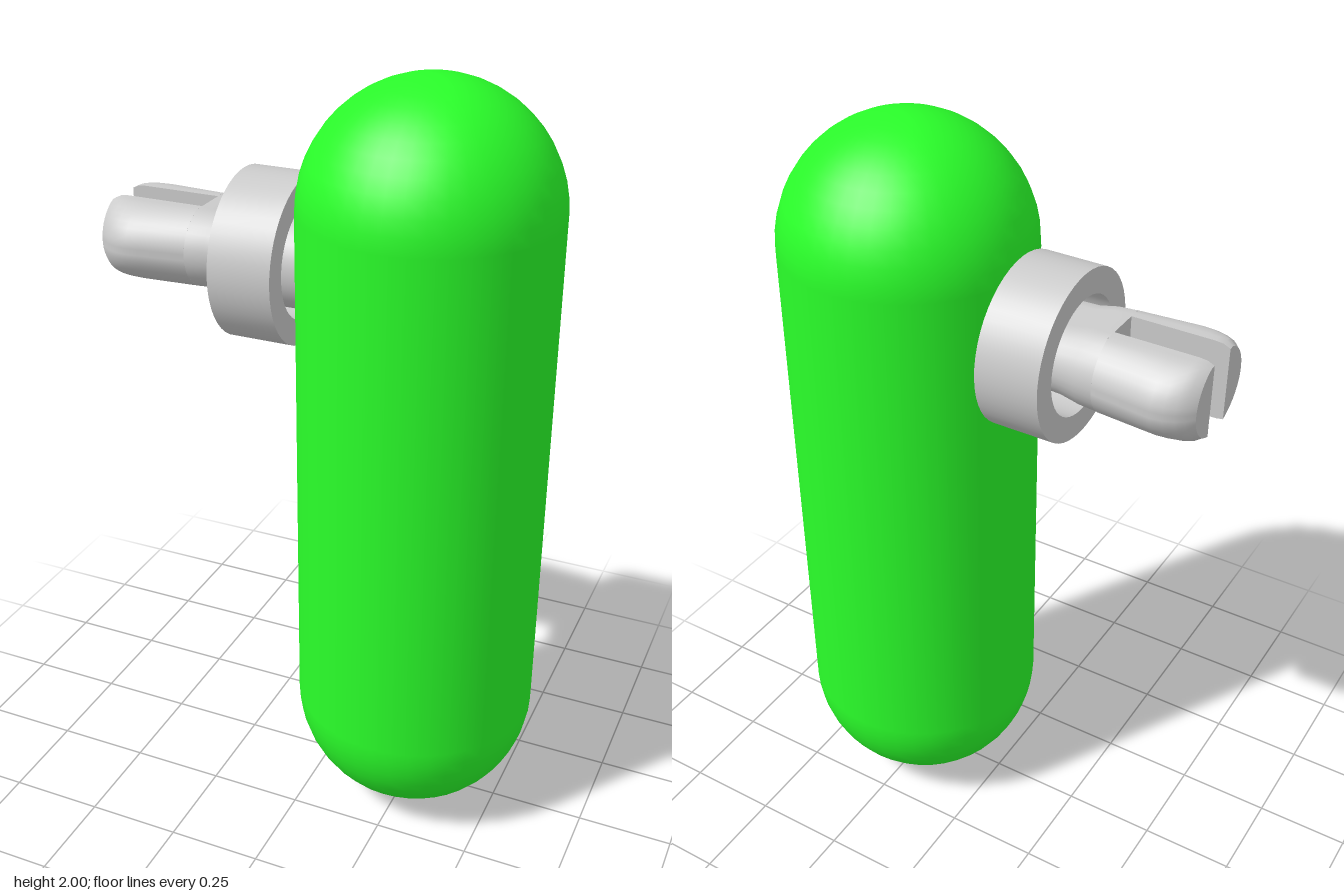
import * as THREE from 'three';
import { toCreasedNormals } from 'three/addons/utils/BufferGeometryUtils.js';

const grey = new THREE.MeshStandardMaterial({ color: 0xcccccc });
const green = new THREE.MeshStandardMaterial({ color: 0x2aff2a });
const PIN_Y = 1.51, PIN_Z = -0.002, SLOT = 0.042;

// Solid lofted along +x through loops of [z, y] points, capped at both ends
function loft(xs, section) {
  const loops = xs.map((s) => section(s).map(([z, y]) => [s.x, y, z]));
  const pos = [];
  const tri = (a, b, c) => pos.push(...a, ...b, ...c);
  const n = loops[0].length;
  for (let k = 0; k < loops.length - 1; k++) {
    const A = loops[k], B = loops[k + 1];
    for (let i = 0; i < n; i++) {
      const j = (i + 1) % n;
      tri(A[i], B[i], B[j]);
      tri(A[i], B[j], A[j]);
    }
  }
  const first = loops[0], last = loops[loops.length - 1];
  for (let i = 1; i < n - 1; i++) {
    tri(first[0], first[i], first[i + 1]);
    tri(last[0], last[i + 1], last[i]);
  }
  const g = new THREE.BufferGeometry();
  g.setAttribute('position', new THREE.Float32BufferAttribute(pos, 3));
  return toCreasedNormals(g, 0.6);
}

// Oval pin section with flattened top and bottom; side 0 = whole, +1 / -1 = one prong
function pinSection(side) {
  return ({ w, h }) => {
    const count = side ? 20 : 36, pts = [];
    const reach = side ? Math.acos(SLOT / w) : Math.PI;
    for (let i = 0; i < count; i++) {
      const t = side ? -reach + (2 * reach * i) / (count - 1) : (2 * Math.PI * i) / count;
      const a = side < 0 ? t + Math.PI : t;
      const y = THREE.MathUtils.clamp(Math.sin(a) * h * 1.15, -0.1, h);
      pts.push([w * Math.cos(a), y]);
    }
    return pts;
  };
}

export function createModel() {
  const group = new THREE.Group();
  const add = (name, geo, mat, x, y, z) => {
    const m = new THREE.Mesh(geo, mat);
    m.name = name;
    m.position.set(x, y, z);
    group.add(m);
    return m;
  };

  // Rounded upright body
  add('body', new THREE.CapsuleGeometry(0.32, 1.36, 12, 40), green, 0.255, 1, 0);

  // Open collar around the pin
  const profile = [[0.15, -0.083], [0.215, -0.083], [0.215, 0.083], [0.15, 0.083], [0.15, -0.083]];
  const ring = new THREE.LatheGeometry(profile.map(([r, y]) => new THREE.Vector2(r, y)), 48);
  ring.rotateZ(Math.PI / 2);
  add('collar', toCreasedNormals(ring, 0.6), grey, -0.148, PIN_Y, PIN_Z);

  // Round stem running from the collar into the body
  const stem = new THREE.CylinderGeometry(0.123, 0.123, 0.22, 40);
  stem.rotateZ(Math.PI / 2);
  add('stem', stem, grey, -0.04, PIN_Y, PIN_Z);

  // Pin root, widening away from the collar
  const root = [
    { x: -0.33, w: 0.147, h: 0.1 },
    { x: -0.28, w: 0.141, h: 0.098 },
    { x: -0.23, w: 0.134, h: 0.088 },
    { x: -0.14, w: 0.125, h: 0.088 },
  ];
  add('pinRoot', loft(root, pinSection(0)), grey, 0, PIN_Y + 0.015, PIN_Z);

  // Two prongs with a slot between them and rounded-in tips
  const tip = [
    { x: -0.577, w: 0.12, h: 0.09 },
    { x: -0.56, w: 0.139, h: 0.098 },
    { x: -0.54, w: 0.152, h: 0.1 },
    { x: -0.515, w: 0.162, h: 0.1 },
    { x: -0.485, w: 0.166, h: 0.1 },
    { x: -0.45, w: 0.162, h: 0.1 },
    { x: -0.33, w: 0.147, h: 0.1 },
  ];
  for (const side of [1, -1]) {
    add(side > 0 ? 'frontProng' : 'backProng', loft(tip, pinSection(side)), grey, 0, PIN_Y + 0.015, PIN_Z);
  }
  return group;
}
